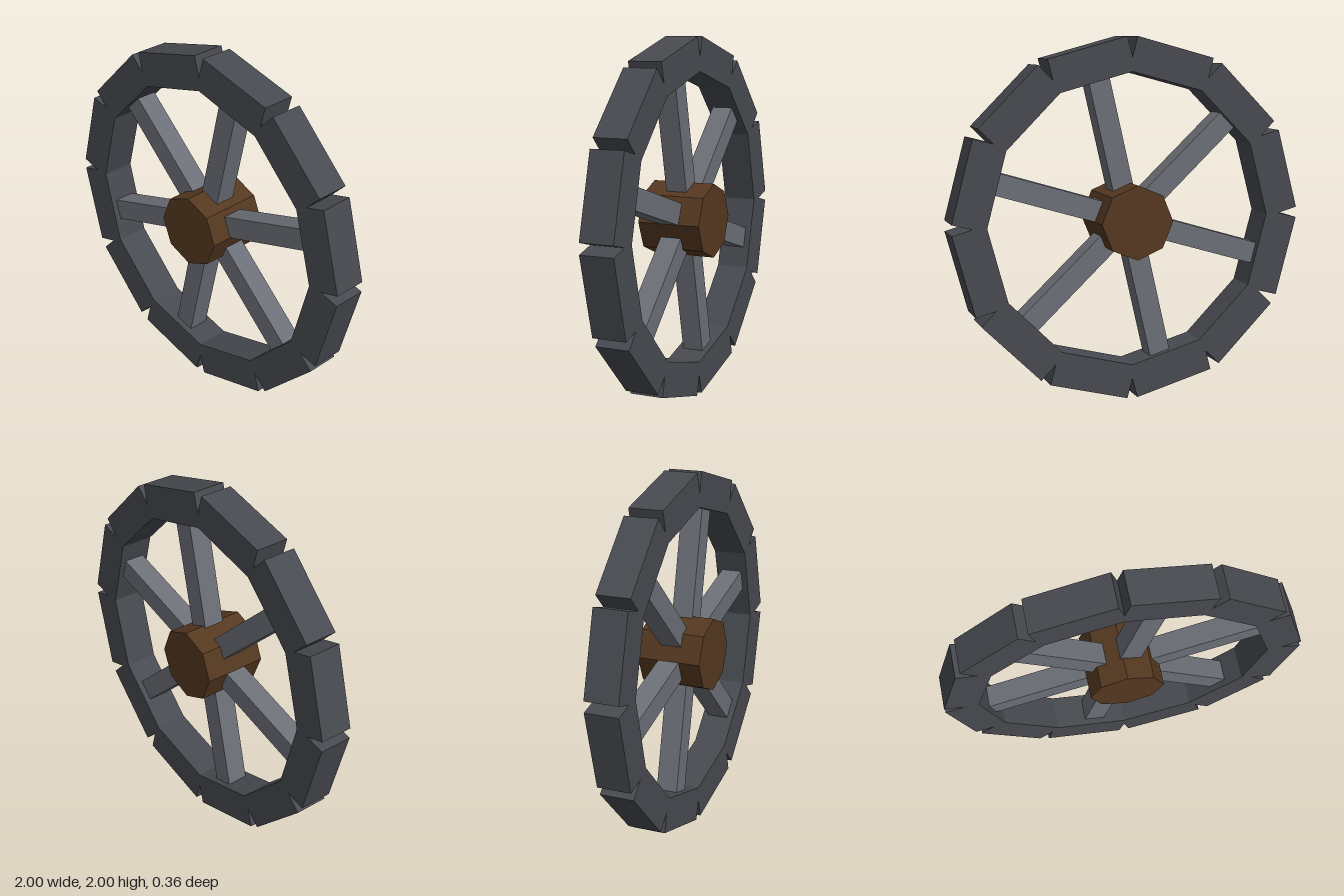
import * as THREE from 'three';

export function createModel() {
  const wheel = new THREE.Group();
  wheel.name = 'wheel';
  const paint = (color) => new THREE.MeshStandardMaterial({ color, flatShading: true });
  const rimMat = paint(0x474a50);
  const spokeMat = paint(0x6c6f77);
  const hubMat = paint(0x553820);

  // Radial bar: local x points outward from the wheel's centre
  const addRadial = (name, geometry, material, radius, angle) => {
    const mesh = new THREE.Mesh(geometry, material);
    mesh.name = name;
    mesh.position.set(Math.cos(angle) * radius, 1 + Math.sin(angle) * radius, 0);
    mesh.rotation.z = angle;
    wheel.add(mesh);
  };

  // Rim: twelve straight blocks that overlap inside and leave notches outside
  const block = new THREE.BoxGeometry(0.19, 0.46, 0.19);
  for (let i = 0; i < 12; i++) {
    addRadial('rimBlock', block, rimMat, 0.879, THREE.MathUtils.degToRad(15 + 30 * i));
  }

  // Six square spokes, from inside the hub to inside the rim
  const spoke = new THREE.BoxGeometry(0.74, 0.12, 0.12);
  for (let i = 0; i < 6; i++) {
    addRadial('spoke', spoke, spokeMat, 0.45, THREE.MathUtils.degToRad(17 + 60 * i));
  }

  // Octagonal hub along z
  const hub = new THREE.Mesh(new THREE.CylinderGeometry(0.205, 0.205, 0.36, 8), hubMat);
  hub.name = 'hub';
  hub.rotation.x = Math.PI / 2;
  hub.position.y = 1;
  wheel.add(hub);

  return wheel;
}
